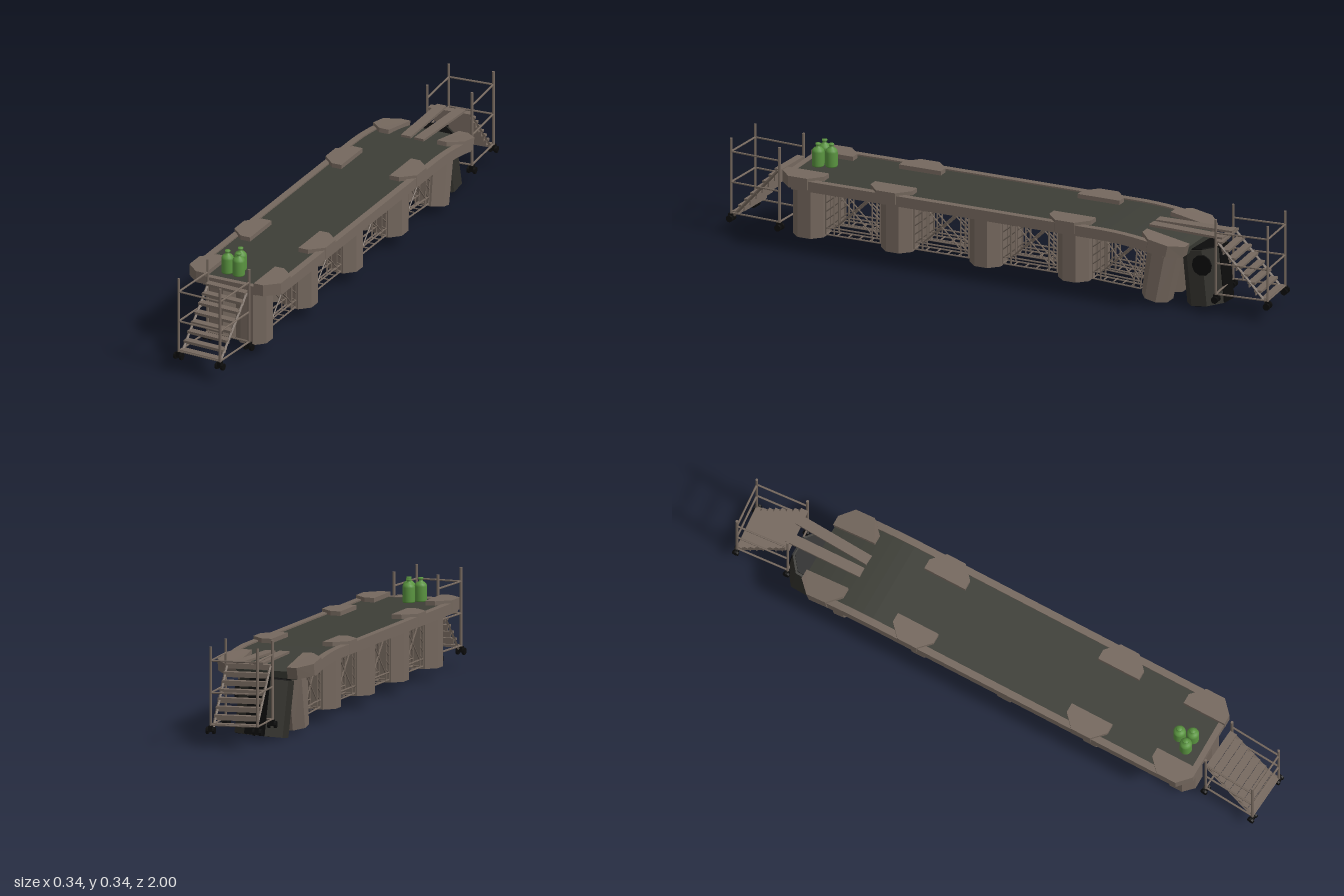
import * as THREE from 'three';
import { mergeGeometries } from 'three/addons/utils/BufferGeometryUtils.js';

const mat = (name, color) => { const m = new THREE.MeshStandardMaterial({ color }); m.name = name; return m; };
const CX = -0.01; // middle line of the bridge

// The far end sags: points behind z = -0.4 drop and lean with the curve.
function sag(g) {
  const p = g.attributes.position;
  for (let i = 0; i < p.count; i++) {
    const y = p.getY(i), z = p.getZ(i), u = Math.max(0, -0.4 - z);
    p.setY(i, y - 0.42 * u * u);
    p.setZ(i, z + 0.84 * u * (0.26 - y));
  }
  return g;
}

// Joins pieces into one faceted mesh.
function part(group, name, pieces, material, bend = false) {
  const list = pieces.map((g) => (g.index ? g.toNonIndexed() : g));
  const g = mergeGeometries(list);
  if (bend) sag(g);
  g.computeVertexNormals();
  const m = new THREE.Mesh(g, material);
  m.name = name;
  group.add(m);
  return m;
}

const box = (x0, x1, y0, y1, z0, z1, seg = 1) =>
  new THREE.BoxGeometry(x1 - x0, y1 - y0, z1 - z0, 1, 1, seg)
    .translate((x0 + x1) / 2, (y0 + y1) / 2, (z0 + z1) / 2);

function bar(a, b, r = 0.003, sides = 5) {
  const A = new THREE.Vector3(...a), B = new THREE.Vector3(...b), d = B.clone().sub(A);
  const g = new THREE.CylinderGeometry(r, r, d.length(), sides);
  g.applyQuaternion(new THREE.Quaternion().setFromUnitVectors(new THREE.Vector3(0, 1, 0), d.normalize()));
  return g.translate((A.x + B.x) / 2, (A.y + B.y) / 2, (A.z + B.z) / 2);
}

// Half-octagon cover plate on the deck edge, on side s
function coverPlate(s, z) {
  const pts = [[0.09, -0.077], [0.125, -0.077], [0.17, -0.035], [0.17, 0.035], [0.125, 0.077], [0.09, 0.077]];
  const shape = new THREE.Shape(pts.map(([x, w]) => new THREE.Vector2(s * x, w)));
  return new THREE.ExtrudeGeometry(shape, { depth: 0.04, bevelEnabled: false })
    .rotateX(-Math.PI / 2).translate(CX, 0.24, z);
}

// Lattice box truss between two pillars, centred on x and z
function truss(x, z) {
  const out = [], lo = 0.058, hi = 0.238, h = 0.1, inner = 0.07;
  for (const dx of [-0.018, 0.018]) {
    const X = x + dx;
    for (const y of [lo, lo + 0.025, hi - 0.018, hi]) out.push(bar([X, y, z - h], [X, y, z + h]));
    for (const w of [-h, -inner, inner, h]) out.push(bar([X, lo, z + w], [X, hi, z + w]));
    for (const s of [-1, 1]) {
      out.push(bar([X, lo + 0.025, z - s * inner], [X, hi - 0.018, z + s * inner], 0.0025));
      for (let i = 0; i < 5; i++) {
        const y = lo + 0.02 + i * 0.03;
        out.push(bar([X, y, z + s * h], [X, y + 0.024, z + s * inner], 0.0025));
      }
    }
  }
  for (const y of [lo, hi]) for (let i = 0; i < 6; i++) {
    const w = z - h + i * h * 0.4;
    out.push(bar([x - 0.018, y, w], [x + 0.018, y, w], 0.0025));
  }
  return out;
}

// Rolling stair: climbs toward its local -z, four posts with rails
function stair(name, frameMat, wheelMat) {
  const g = new THREE.Group();
  g.name = name;
  const hx = 0.08, hz = 0.092, frame = [], wheels = [], treads = [];
  for (const sx of [-1, 1]) {
    const x = sx * hx;
    for (const sz of [-1, 1]) {
      const z = sz * hz;
      frame.push(bar([x, 0.07, z], [x, 0.342, z], 0.0048, 8));
      wheels.push(box(x - 0.007, x + 0.007, 0.058, 0.078, z - 0.008, z + 0.008));
      for (const k of [-1, 1])
        wheels.push(new THREE.CylinderGeometry(0.012, 0.012, 0.008, 10).rotateZ(Math.PI / 2)
          .translate(x + k * 0.011, 0.062, z));
    }
    for (const y of [0.08, 0.188, 0.295]) frame.push(bar([x, y, -hz], [x, y, hz], 0.0035, 6));
    frame.push(bar([sx * 0.074, 0.07, 0.085], [sx * 0.074, 0.258, -0.085], 0.005, 4));
  }
  for (const y of [0.188, 0.295]) frame.push(bar([-hx, y, hz], [hx, y, hz], 0.0035, 6));
  for (const z of [-hz, hz]) frame.push(bar([-hx, 0.08, z], [hx, 0.08, z], 0.0035, 6));
  for (let i = 0; i < 8; i++) {
    const y = 0.085 + i * 0.0255, z = 0.08 - i * 0.0232;
    treads.push(box(-0.076, 0.076, y - 0.008, y, z - 0.014, z + 0.012));
    if (i) treads.push(box(-0.074, 0.074, y - 0.02, y - 0.008, z - 0.012, z - 0.008));
  }
  part(g, 'stairFrame', frame, frameMat);
  part(g, 'stairTreads', treads, frameMat);
  part(g, 'casters', wheels, wheelMat);
  return g;
}

export function createModel() {
  const model = new THREE.Group();
  model.name = 'bridge';
  const tan = mat('weathered tan', 0x75685e), deckMat = mat('dark deck', 0x3d3e37);
  const green = mat('bottle green', 0x5a9440), black = mat('black', 0x0c0c0c);
  const char = mat('charred grey', 0x302f2a);

  // Deck slab with narrower ends
  part(model, 'deck', [
    box(CX - 0.15, CX + 0.15, 0.237, 0.265, -0.66, 0.73, 36),
    box(CX - 0.12, CX + 0.12, 0.237, 0.265, -0.7, -0.66),
    box(CX - 0.12, CX + 0.12, 0.237, 0.265, 0.73, 0.755),
  ], deckMat, true);

  // Edge rails, front lip and cover plates
  const rails = [box(CX - 0.1, CX + 0.1, 0.237, 0.267, 0.75, 0.77)], plates = [];
  for (const s of [-1, 1]) {
    const a = CX + s * 0.144, b = CX + s * 0.168;
    rails.push(box(Math.min(a, b), Math.max(a, b), 0.234, 0.27, -0.65, 0.72, 36));
    for (const z of [0.695, 0.372, -0.285, -0.625]) plates.push(coverPlate(s, z));
  }
  part(model, 'edgeRails', rails, tan, true);
  part(model, 'coverPlates', plates, tan, true);

  // Paired octagonal pillars, and trusses in the bays between them
  const pillarZ = [0.7, 0.375, 0.05, -0.275, -0.61], pillars = [], trusses = [];
  for (const s of [-1, 1]) {
    const x = CX + s * 0.056;
    pillarZ.forEach((z, i) => {
      pillars.push(new THREE.CylinderGeometry(0.0615, 0.0615, 0.195, 8).rotateY(Math.PI / 8).translate(x, 0.145, z));
      if (i) trusses.push(...truss(x, (z + pillarZ[i - 1]) / 2));
    });
  }
  part(model, 'pillars', pillars, tan, true);
  part(model, 'trusses', trusses, tan, true);

  // Broken, burnt pillar block leaning under the sagging end
  const wreck = new THREE.Group();
  wreck.name = 'brokenPillar';
  const block = new THREE.CylinderGeometry(1, 1, 0.19, 8).rotateY(Math.PI / 8).scale(0.092, 1, 0.074);
  part(wreck, 'burntShell', [block], char);
  part(wreck, 'burntBack', [box(-0.036, 0.036, -0.094, 0.097, -0.071, -0.066),
    box(-0.036, 0.08, -0.097, -0.094, -0.03, 0.03)], black);
  part(wreck, 'hole', [new THREE.CylinderGeometry(0.036, 0.036, 0.006, 10).rotateZ(Math.PI / 2)
    .translate(0.086, 0.045, -0.025)], black);
  part(wreck, 'burntTop', [new THREE.CylinderGeometry(0.9, 0.9, 0.006, 8).rotateY(Math.PI / 8)
    .scale(0.092, 1, 0.074).translate(0, 0.096, 0)], black);
  wreck.rotation.set(0.13, 0, 0.06);
  wreck.position.set(-0.027, 0.11, -0.722);
  model.add(wreck);

  // Rolling stairs at both ends
  const front = stair('frontStair', tan, black);
  front.rotation.y = -0.07;
  front.position.set(-0.008, 0, 0.888);
  const back = stair('backStair', tan, black);
  back.rotation.y = Math.PI + 0.08;
  back.position.set(-0.008, 0, -0.888);
  model.add(front, back);

  // Two planks from the back stair to the deck
  [[-0.034, 0.03], [0.026, -0.05]].forEach(([x, turn]) => {
    const p = part(model, 'plank', [box(-0.018, 0.018, -0.004, 0.004, -0.138, 0.138)], tan);
    p.position.set(x, 0.266, -0.675);
    p.rotation.y = turn;
  });

  // Gas bottles on the front of the deck
  const profile = [[0, 0], [0.02, 0], [0.021, 0.004], [0.021, 0.05], [0.0195, 0.057], [0.014, 0.063],
    [0.007, 0.067], [0.006, 0.073], [0.009, 0.074], [0.009, 0.079], [0, 0.08]];
  const bottle = new THREE.LatheGeometry(profile.map(([x, y]) => new THREE.Vector2(x, y)), 18);
  [[-0.054, 0.7], [-0.011, 0.703], [-0.026, 0.661]].forEach(([x, z]) => {
    const b = new THREE.Mesh(bottle, green);
    b.name = 'gasBottle';
    b.position.set(x, 0.265, z);
    model.add(b);
  });
  return model;
}
